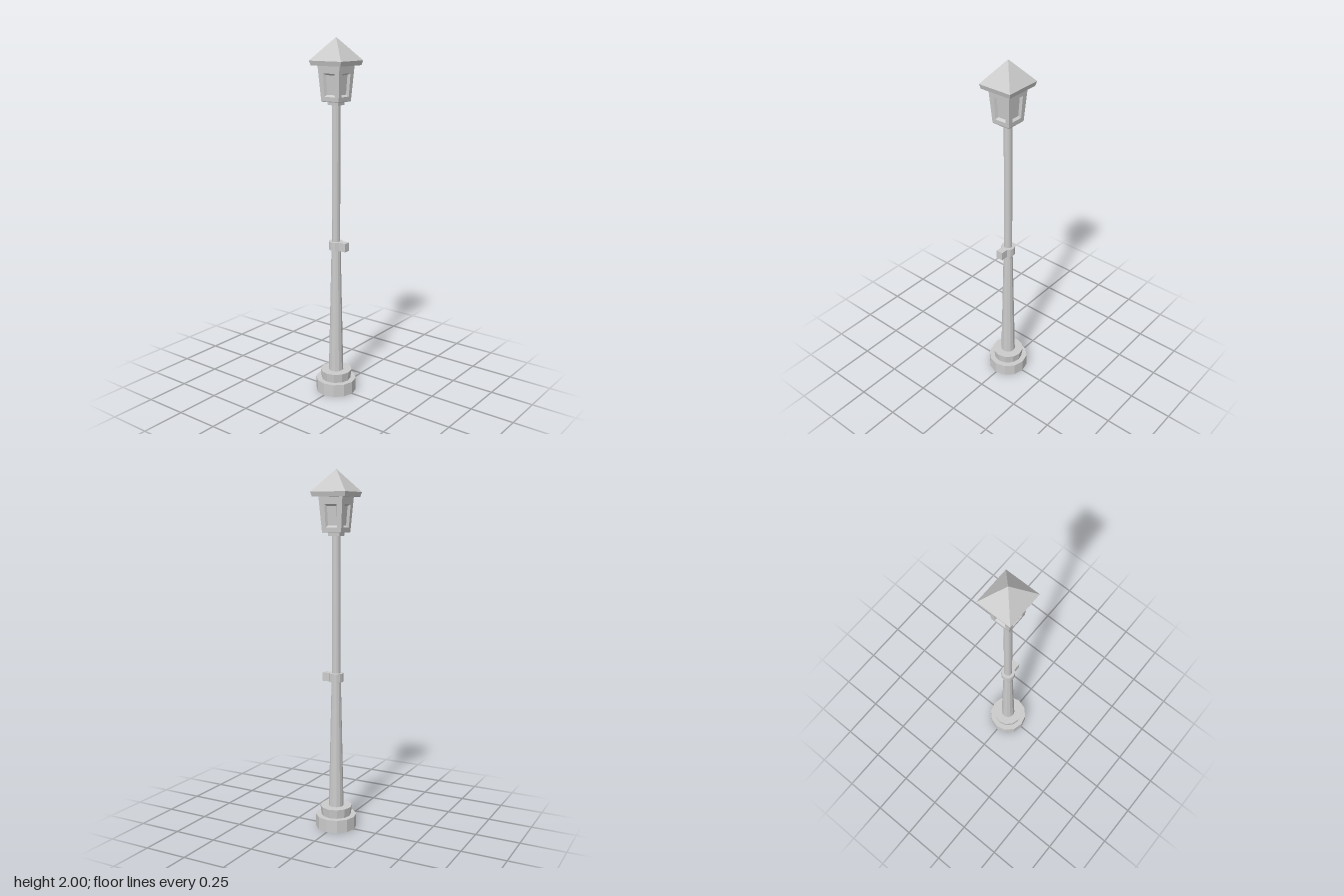
import * as THREE from 'three';

const material = new THREE.MeshStandardMaterial({ color: 0xcccccc, flatShading: true, side: THREE.DoubleSide });

function addMesh(parent, name, geometry) {
  const mesh = new THREE.Mesh(geometry, material);
  mesh.name = name;
  parent.add(mesh);
  return mesh;
}

// Faceted turned part from [radius, height] points
function turned(points, sides) {
  return new THREE.LatheGeometry(points.map(([r, y]) => new THREE.Vector2(r, y)), sides);
}

// Square tapered block between two heights, given half widths
function squareBlock(bottomHalf, topHalf, y0, y1) {
  const g = new THREE.CylinderGeometry(topHalf * Math.SQRT2, bottomHalf * Math.SQRT2, y1 - y0, 4);
  return g.rotateY(Math.PI / 4).translate(0, (y0 + y1) / 2, 0);
}

// One sloping lantern side with a recessed window, facing +z
function lanternSide() {
  const y0 = 1.67, y1 = 1.858, w0 = 0.058, w1 = 0.072;
  const half = (y) => w0 + (w1 - w0) * (y - y0) / (y1 - y0);
  const ring = (bottom, top, wb, wt, depth) => [
    [-wb, bottom, half(bottom) - depth], [wb, bottom, half(bottom) - depth],
    [wt, top, half(top) - depth], [-wt, top, half(top) - depth],
  ];
  const rings = [
    ring(y0, y1, w0, w1, 0),
    ring(1.693, 1.815, 0.035, 0.037, 0),
    ring(1.703, 1.806, 0.027, 0.029, 0.014),
  ];
  const positions = rings.flat(2);
  const index = [];
  for (let r = 0; r < 2; r++) {
    for (let i = 0; i < 4; i++) {
      const a = r * 4 + i, b = r * 4 + (i + 1) % 4;
      index.push(a, b, b + 4, a, b + 4, a + 4);
    }
  }
  index.push(8, 9, 10, 8, 10, 11); // window pane
  const g = new THREE.BufferGeometry();
  g.setAttribute('position', new THREE.Float32BufferAttribute(positions, 3));
  g.setIndex(index);
  g.computeVertexNormals();
  return g;
}

export function createModel() {
  const model = new THREE.Group();
  model.name = 'streetLamp';

  // Stepped hollow base
  addMesh(model, 'base', turned([
    [0.115, 0], [0.115, 0.073], [0.084, 0.073], [0.09, 0.125], [0.04, 0.125],
  ], 12));

  // Tapered lower post and slim upper post
  addMesh(model, 'lowerPost', turned([[0.042, 0.125], [0.026, 0.85]], 12));
  addMesh(model, 'upperPost', turned([[0.023, 0.85], [0.023, 1.66]], 12));

  // Collar with a side tab
  const collar = new THREE.Group();
  collar.name = 'collar';
  model.add(collar);
  addMesh(collar, 'collarRing', turned([[0.02, 0.847], [0.04, 0.847], [0.04, 0.895], [0.02, 0.895]], 12));
  addMesh(collar, 'collarTab', new THREE.BoxGeometry(0.055, 0.048, 0.04).translate(0.0485, 0.871, 0));

  // Lantern, slightly narrower front to back
  const lantern = new THREE.Group();
  lantern.name = 'lantern';
  lantern.scale.z = 0.935;
  model.add(lantern);
  addMesh(lantern, 'lanternFoot', squareBlock(0.034, 0.036, 1.648, 1.672)).scale.z = 0.88;
  addMesh(lantern, 'lanternFloor', squareBlock(0.056, 0.058, 1.666, 1.67));
  const side = lanternSide();
  for (let i = 0; i < 4; i++) {
    addMesh(lantern, 'lanternSide', side).rotation.y = i * Math.PI / 2;
  }

  // Pyramid roof with a bevelled eave
  addMesh(lantern, 'eave', squareBlock(0.098, 0.105, 1.855, 1.88));
  addMesh(lantern, 'roof', squareBlock(0.105, 0, 1.88, 2));

  return model;
}
